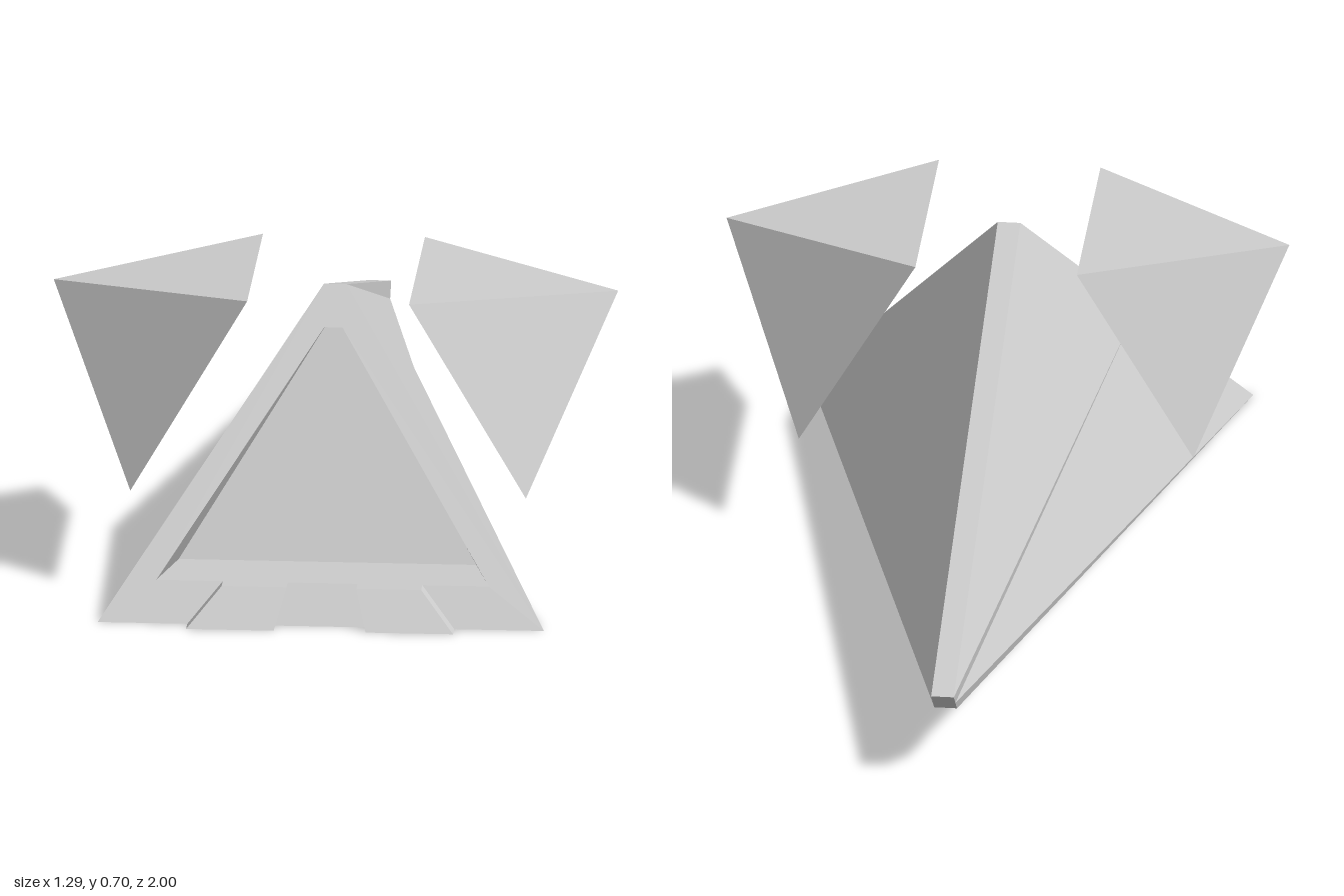
import * as THREE from 'three';
import { ConvexGeometry } from 'three/addons/geometries/ConvexGeometry.js';

const material = new THREE.MeshStandardMaterial({ color: 0xcccccc, flatShading: true });

// Mirrored four-cornered section: bottom left, bottom right, top right, top left
const section = (xb, yb, zb, xt, yt, zt) => [
  [-xb, yb, zb], [xb, yb, zb], [xt, yt, zt], [-xt, yt, zt],
].map((p) => new THREE.Vector3(...p));

// Adds a midpoint to each slanted side, so the twisted flanks bend evenly
const withMidpoints = ([bl, br, tr, tl]) =>
  [bl, br, br.clone().lerp(tr, 0.5), tr, tl, tl.clone().lerp(bl, 0.5)];

// Triangles joining two sections of equal point count
function band(a, b) {
  return a.flatMap((p, i) => {
    const j = (i + 1) % a.length;
    return [p, a[j], b[j], p, b[j], b[i]];
  });
}

// Triangle fan over one section
function cap(s) {
  const out = [];
  for (let i = 1; i < s.length - 1; i++) out.push(s[0], s[i], s[i + 1]);
  return out;
}

function meshFrom(name, points) {
  const geometry = new THREE.BufferGeometry().setFromPoints(points);
  geometry.computeVertexNormals();
  const mesh = new THREE.Mesh(geometry, material);
  mesh.name = name;
  return mesh;
}

function convex(name, points) {
  const geometry = new ConvexGeometry(points.map((p) => new THREE.Vector3(...p)));
  const mesh = new THREE.Mesh(geometry, material);
  mesh.name = name;
  return mesh;
}

export function createModel() {
  const model = new THREE.Group();
  model.name = 'wedgeCraft';

  const nose = section(0.026, 0.16, -0.93, 0.026, 0.225, -1);
  const front = section(0.51, 0, 0.96, 0.026, 0.67, 0.48);
  const opening = section(0.38, 0.085, 0.9, 0.021, 0.585, 0.541);
  const panel = section(0.34, 0.085, 0.735, 0.021, 0.57, 0.47);

  // Tapering hull with a blunt nose
  const noseRing = withMidpoints(nose);
  model.add(meshFrom('hull', [
    ...band(noseRing, withMidpoints(front)),
    ...cap([...noseRing].reverse()),
  ]));

  // Sloped front frame, recess walls and sunken panel
  model.add(meshFrom('frontFrame', band(front, opening)));
  model.add(meshFrom('recessWalls', band(opening, panel)));
  model.add(meshFrom('recessPanel', cap(panel)));

  for (const [side, s] of [['left', 1], ['right', -1]]) {
    // Floating pyramid pod: rectangular inner face, apex pointing outward
    model.add(convex(`${side}Pod`, [
      [s * 0.185, 0.697, 0.19], [s * 0.185, 0.697, 0.717],
      [s * 0.452, 0.24, 0.19], [s * 0.452, 0.24, 0.717],
      [s * 0.645, 0.66, 0.455],
    ]));

    // Splayed step at the foot of the front face
    model.add(convex(`${side}Step`, [
      [s * 0.105, 0, 0.96], [s * 0.305, 0, 0.96],
      [s * 0.105, 0, 1], [s * 0.305, 0, 1],
      [s * 0.08, 0.085, 0.9], [s * 0.228, 0.085, 0.9],
      [s * 0.08, 0.085, 0.938], [s * 0.228, 0.085, 0.938],
    ]));
  }
  return model;
}
